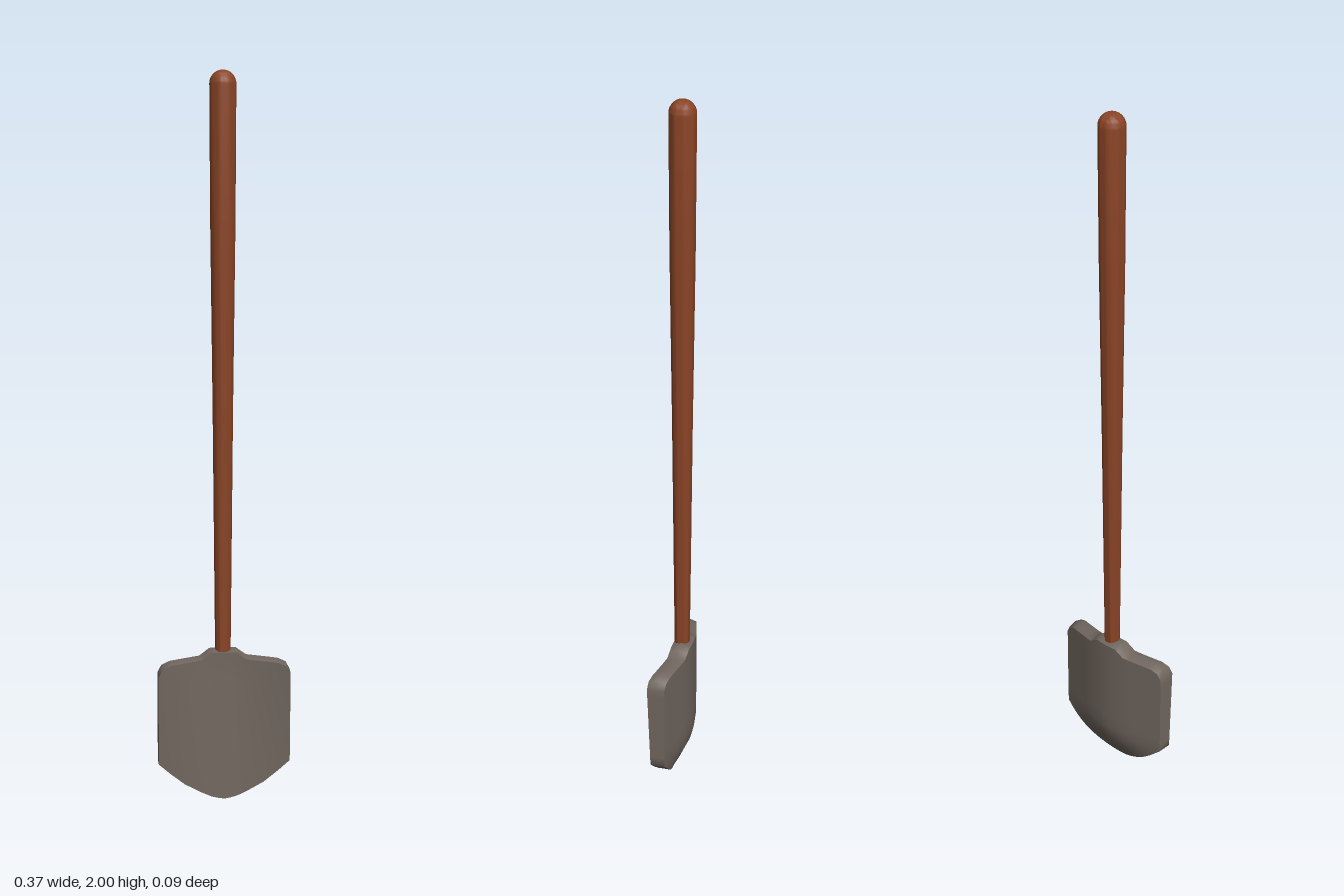
import * as THREE from 'three';
import { toCreasedNormals } from 'three/addons/utils/BufferGeometryUtils.js';

// Linear interpolation through [position, value] pairs, mirrored about zero
function sample(pairs, x) {
  const a = Math.abs(x);
  for (let i = 1; i < pairs.length; i++) {
    const [x0, v0] = pairs[i - 1], [x1, v1] = pairs[i];
    if (a <= x1) return THREE.MathUtils.lerp(v0, v1, (a - x0) / (x1 - x0));
  }
  return pairs[pairs.length - 1][1];
}

// Blade outline and dish, given for one half of the width
const topEdge = [[0, 0.425], [0.036, 0.424], [0.048, 0.415], [0.064, 0.404], [0.15, 0.397], [0.172, 0.388], [0.183, 0.368]];
const bottomEdge = [[0, 0], [0.03, 0.005], [0.06, 0.018], [0.11, 0.045], [0.15, 0.077], [0.183, 0.107]];
const backZ = [[0, -0.041], [0.03, -0.039], [0.064, -0.034], [0.11, -0.023], [0.183, -0.005]];
const frontZ = [[0, 0.013], [0.036, 0.014], [0.075, 0.019], [0.13, 0.032], [0.183, 0.046]];

function bladeGeometry() {
  const half = [0.018, 0.036, 0.048, 0.064, 0.085, 0.11, 0.13, 0.15, 0.172, 0.183];
  const columns = [...half.map(x => -x).reverse(), 0, ...half];
  const rows = 10, bevel = 0.008;
  const positions = [], index = [];

  // Each column is a closed ring: up the front, over the top, down the back
  const ringSize = 2 * (rows + 1) + 1;
  for (const x of columns) {
    const top = sample(topEdge, x), bottom = sample(bottomEdge, x);
    const front = y => THREE.MathUtils.lerp(0.033, sample(frontZ, x), Math.min(1, y / 0.38));
    const back = y => THREE.MathUtils.lerp(sample(backZ, x), 0.016, Math.max(0, 1 - y / 0.12) ** 1.5);
    const height = k => THREE.MathUtils.lerp(bottom, top - bevel, k / rows);
    for (let k = 0; k <= rows; k++) positions.push(x, height(k), front(height(k)));
    positions.push(x, top, (front(top) + back(top)) / 2);
    for (let k = rows; k >= 0; k--) positions.push(x, height(k), back(height(k)));
  }
  for (let i = 0; i < columns.length - 1; i++) {
    for (let j = 0; j < ringSize; j++) {
      const a = i * ringSize + j, b = i * ringSize + (j + 1) % ringSize;
      const c = a + ringSize, d = b + ringSize;
      index.push(a, c, b, b, c, d);
    }
  }
  // Flat side faces
  for (let k = 0; k < rows; k++) {
    const f = k, g = k + 1, p = ringSize - 1 - k, q = p - 1;
    const end = (columns.length - 1) * ringSize;
    index.push(f, g, p, g, q, p);
    index.push(end + f, end + p, end + g, end + g, end + p, end + q);
  }
  const lastFront = rows, crown = rows + 1, lastBack = rows + 2;
  const end = (columns.length - 1) * ringSize;
  index.push(lastFront, crown, lastBack, end + lastFront, end + lastBack, end + crown);

  const geometry = new THREE.BufferGeometry();
  geometry.setAttribute('position', new THREE.Float32BufferAttribute(positions, 3));
  geometry.setIndex(index);
  return toCreasedNormals(geometry, 0.9);
}

function handleGeometry() {
  // Tapered shaft with a domed end
  const points = [new THREE.Vector2(0, 0.33), new THREE.Vector2(0.02, 0.33), new THREE.Vector2(0.022, 0.45),
    new THREE.Vector2(0.028, 1.1), new THREE.Vector2(0.034, 1.6)];
  for (let i = 0; i <= 8; i++) {
    const a = (i / 8) * Math.PI / 2;
    points.push(new THREE.Vector2(0.036 * Math.cos(a), 1.964 + 0.036 * Math.sin(a)));
  }
  return toCreasedNormals(new THREE.LatheGeometry(points, 32), 0.9);
}

export function createModel() {
  const group = new THREE.Group();
  group.name = 'shovel';

  const handle = new THREE.Mesh(handleGeometry(), new THREE.MeshStandardMaterial({ color: 0x8a4426 }));
  handle.name = 'handle';
  handle.position.z = -0.009;

  const blade = new THREE.Mesh(bladeGeometry(), new THREE.MeshStandardMaterial({ color: 0x70665e }));
  blade.name = 'blade';

  group.add(handle, blade);
  return group;
}
